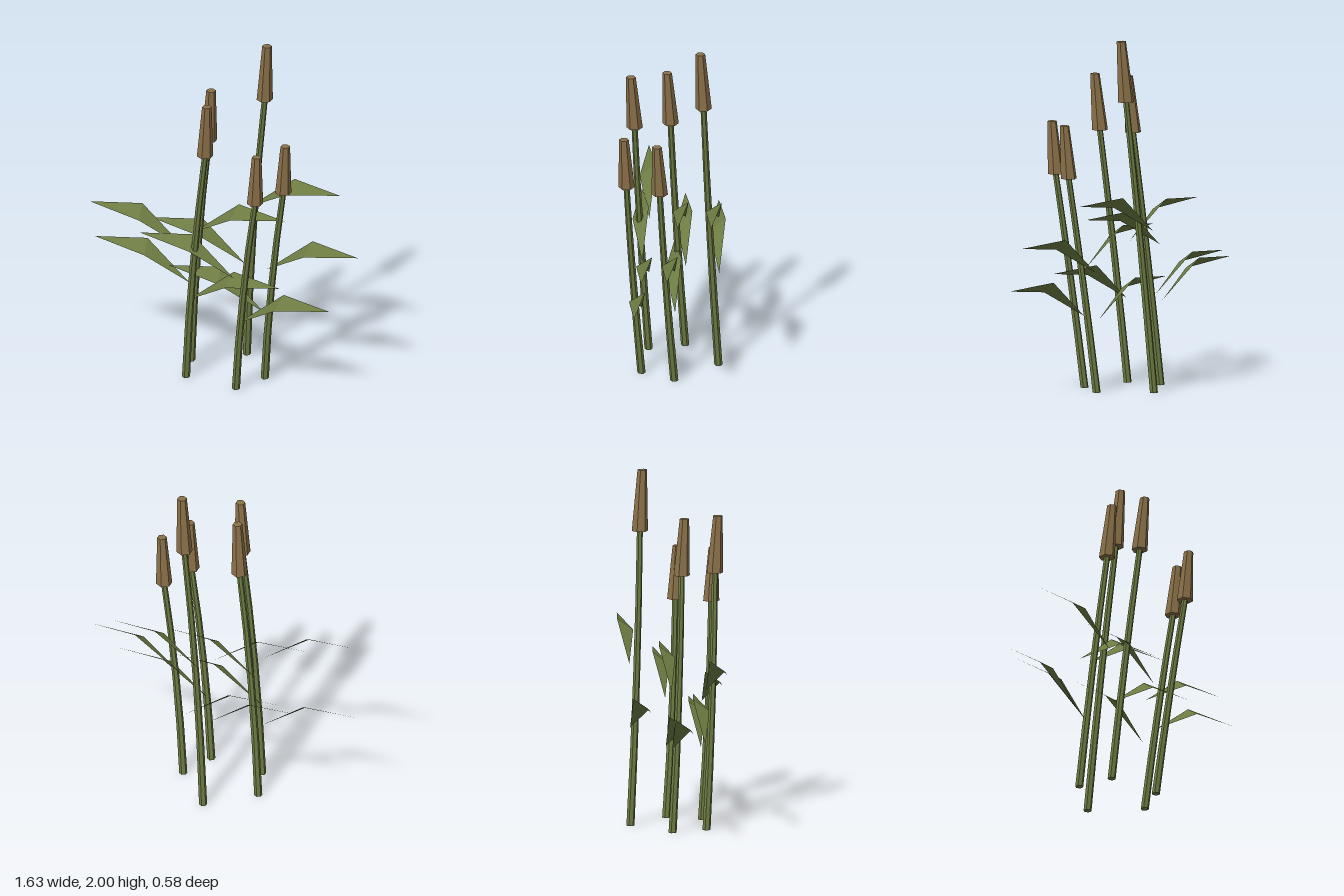
import * as THREE from 'three';

const stalkMat = new THREE.MeshStandardMaterial({ color: 0x6c7a42, flatShading: true });
const leafMat = new THREE.MeshStandardMaterial({ color: 0x6c7a42, flatShading: true, side: THREE.DoubleSide });
const headMat = new THREE.MeshStandardMaterial({ color: 0x8a7048, flatShading: true });

// Tapered column whose level rings follow a leaning, slightly bowed line
function column(name, from, to, rBottom, rTop, rings, bowX, bowZ, material) {
  const height = to[1] - from[1];
  const geo = new THREE.CylinderGeometry(rTop, rBottom, height, 6, rings);
  geo.translate(0, height / 2, 0);
  const p = geo.attributes.position;
  for (let i = 0; i < p.count; i++) {
    const t = p.getY(i) / height;
    const bow = 4 * t * (1 - t);
    p.setXYZ(i,
      p.getX(i) + THREE.MathUtils.lerp(from[0], to[0], t) + bow * bowX,
      p.getY(i) + from[1],
      p.getZ(i) + THREE.MathUtils.lerp(from[2], to[2], t) + bow * bowZ);
  }
  geo.computeVertexNormals();
  const mesh = new THREE.Mesh(geo, material);
  mesh.name = name;
  return mesh;
}

// Pointed blade folded across its widest line; side is +1 or -1 along x
function leaf(name, x, z, tipY, side) {
  const root = [side * 0.012, -0.19, -0.004];
  const back = [side * 0.28, 0.025, -0.03];
  const front = [side * 0.263, -0.04, 0.06];
  const tip = [side * 0.58, 0, 0.02];
  const corners = side > 0
    ? [root, front, back, back, front, tip]
    : [root, back, front, back, tip, front];
  const geo = new THREE.BufferGeometry();
  geo.setAttribute('position', new THREE.Float32BufferAttribute(corners.flat(), 3));
  geo.computeVertexNormals();
  const mesh = new THREE.Mesh(geo, leafMat);
  mesh.position.set(x, tipY, z);
  mesh.name = name;
  return mesh;
}

// Foot of the stalk, bottom and top of the seed head, leaf tip heights
const reeds = [
  { foot: [0.02, 0, -0.26], low: [0.164, 1.655, -0.182], high: [0.185, 2.0, -0.165], leftTip: 1.11, rightTip: 0.75 },
  { foot: [-0.235, 0, -0.063], low: [-0.092, 1.44, 0.013], high: [-0.072, 1.76, 0.032], leftTip: 0.99, rightTip: 0.67 },
  { foot: [-0.178, 0, 0.14], low: [-0.03, 1.44, 0.213], high: [-0.01, 1.76, 0.233], leftTip: 0.67, rightTip: 0.99 },
  { foot: [0.14, 0, 0.168], low: [0.291, 1.22, 0.246], high: [0.307, 1.52, 0.26], leftTip: 0.60, rightTip: 0.87 },
  { foot: [0.235, 0, -0.02], low: [0.381, 1.22, 0.056], high: [0.4, 1.52, 0.071], leftTip: 0.87, rightTip: 0.60 },
];

export function createModel() {
  const model = new THREE.Group();
  model.name = 'reedClump';
  for (const { foot, low, high, leftTip, rightTip } of reeds) {
    const reed = new THREE.Group();
    reed.name = 'reed';
    reed.add(
      column('stalk', foot, low, 0.023, 0.017, 4, -0.012, 0.006, stalkMat),
      column('seedHead', low, high, 0.046, 0.027, 1, 0, 0, headMat),
      leaf('leftLeaf', foot[0], foot[2], leftTip, 1),
      leaf('rightLeaf', foot[0], foot[2], rightTip, -1),
    );
    model.add(reed);
  }
  return model;
}
